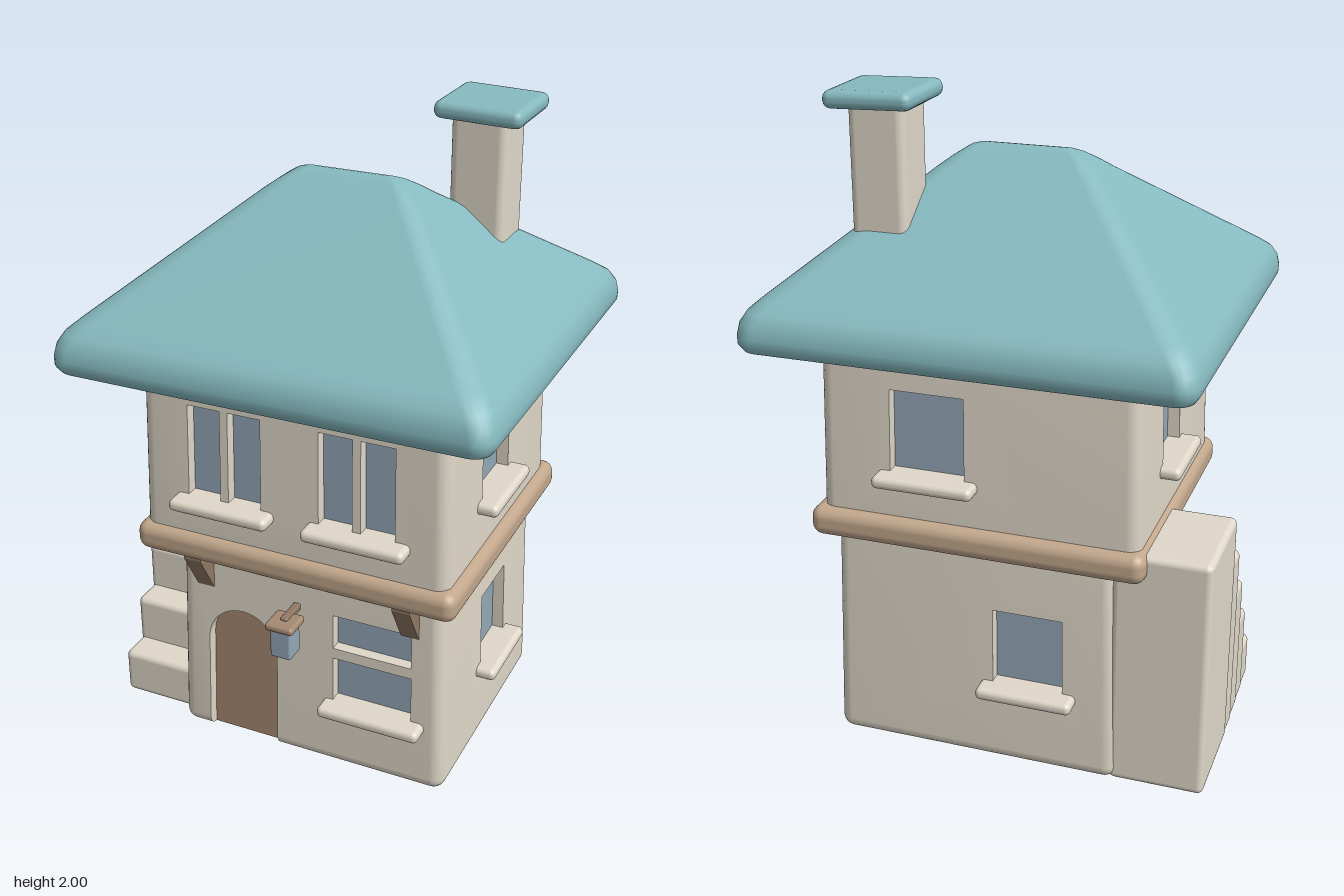
import * as THREE from 'three';
import { mergeGeometries, toCreasedNormals } from 'three/addons/utils/BufferGeometryUtils.js';
import { RoundedBoxGeometry } from 'three/addons/geometries/RoundedBoxGeometry.js';

const mat = (color) => new THREE.MeshStandardMaterial({ color });
const PLASTER = mat(0xe0d8c9), ROOF = mat(0x86bac0), TRIM = mat(0xc2a78c);
const WOOD = mat(0xa68a72), DARK = mat(0x8f7863), GLASS = mat(0x94a8b8);
const R = 0.04;   // corner radius of the walls
const T = 0.045;  // depth of the window and door recesses

function add(parent, name, geometry, material) {
  const mesh = new THREE.Mesh(geometry, material);
  mesh.name = name;
  parent.add(mesh);
  return mesh;
}

// Rounded box given by its limits on each axis
function block(x0, x1, y0, y1, z0, z1, r, segments = 3) {
  return new RoundedBoxGeometry(x1 - x0, y1 - y0, z1 - z0, segments, r)
    .translate((x0 + x1) / 2, (y0 + y1) / 2, (z0 + z1) / 2);
}

// Outline of an opening, optionally with a round top
function trace(path, o, start) {
  const h = o.w / 2;
  path[start](o.u - h, o.y0);
  if (o.arch) {
    path.lineTo(o.u - h, o.y1 - h);
    path.absarc(o.u, o.y1 - h, h, Math.PI, 0, true);
  } else {
    path.lineTo(o.u - h, o.y1);
    path.lineTo(o.u + h, o.y1);
  }
  path.lineTo(o.u + h, o.y0);
  return path;
}

// Wall sheet with openings; an opening at ground level becomes a notch
function sheet(half, d, y0, y1, openings) {
  const s = new THREE.Shape();
  s.moveTo(-half, y0);
  for (const o of openings) {
    if (o.y0 < y0) trace(s, { ...o, y0 }, 'lineTo');
    else s.holes.push(trace(new THREE.Path(), o, 'moveTo'));
  }
  s.lineTo(half, y0);
  s.lineTo(half, y1);
  s.lineTo(-half, y1);
  return new THREE.ExtrudeGeometry(s, { depth: T, bevelEnabled: false, curveSegments: 16 })
    .translate(0, 0, d - T);
}

// Rounded bottom edge of a wall between two positions along it
function bottomEdge(a, b, d, y) {
  const s = new THREE.Shape();
  s.moveTo(d - T - 0.01, y);
  s.lineTo(d - R, y);
  s.absarc(d - R, y + R, R, -Math.PI / 2, 0, false);
  s.lineTo(d - T - 0.01, y + R);
  return new THREE.ExtrudeGeometry(s, { depth: b - a, bevelEnabled: false, curveSegments: 6 })
    .rotateY(-Math.PI / 2).translate(b, 0, 0);
}

// Rounded vertical corner, closed by a ball end below
function corner(x, z, y0, y1) {
  const pts = [];
  for (let i = 0; i <= 6; i++) {
    const a = (i / 6) * Math.PI / 2;
    pts.push(new THREE.Vector2(R * Math.sin(a), y0 + R - R * Math.cos(a)));
  }
  pts.push(new THREE.Vector2(R, y1));
  return new THREE.LatheGeometry(pts, 6, 0, Math.PI / 2).toNonIndexed().translate(x, 0, z);
}

// One tapered storey: four walls, their panes and their sills
function storey(name, { cx, cz, hx, hz, y0, y1, taper, sides }) {
  const g = new THREE.Group();
  g.name = name;
  const lean = (geo) => {
    const p = geo.attributes.position;
    for (let i = 0; i < p.count; i++) {
      const k = 1 - taper * (p.getY(i) - y0) / (y1 - y0);
      p.setXYZ(i, p.getX(i) * k + cx, p.getY(i), p.getZ(i) * k + cz);
    }
    return geo;
  };
  const core = new THREE.BoxGeometry(2 * (hx - T), y1 - y0, 2 * (hz - T));
  const walls = [core.translate(0, (y0 + y1) / 2, 0).toNonIndexed()];
  ['front', 'right', 'back', 'left'].forEach((side, i) => {
    const angle = i * Math.PI / 2, across = i % 2 === 1;
    const d = across ? hx : hz, half = (across ? hz : hx) - R;
    const sign = i === 0 || i === 3 ? 1 : -1, mid = across ? cz : cx;
    const { openings = [], sills = [] } = sides[side] || {};
    const list = openings.map((o) => ({ ...o, u: sign * (o.c - mid) }));
    walls.push(sheet(half, d, y0 + R, y1, list).rotateY(angle));
    walls.push(corner(half, d - R, y0, y1).rotateY(angle));
    const door = list.find((o) => o.y0 < y0 + R);
    const spans = door ? [[-half, door.u - door.w / 2], [door.u + door.w / 2, half]] : [[-half, half]];
    for (const [a, b] of spans) walls.push(bottomEdge(a, b, d, y0).rotateY(angle));
    // Recessed panes and doors
    for (const o of list) {
      const pane = new THREE.ExtrudeGeometry(trace(new THREE.Shape(), o, 'moveTo'),
        { depth: 0.008, bevelEnabled: false, curveSegments: 16 });
      pane.translate(0, 0, d - T).rotateY(angle);
      add(g, side + (o.arch ? 'Door' : 'WindowPane'), lean(pane), o.arch ? WOOD : GLASS);
    }
    for (const { c, w, y } of sills) {
      const u = sign * (c - mid);
      const sill = block(u - w / 2, u + w / 2, y - 0.019, y + 0.019, d - 0.06, d + 0.06, 0.017);
      add(g, side + 'Sill', lean(sill.rotateY(angle)), PLASTER);
    }
  });
  add(g, 'walls', toCreasedNormals(lean(mergeGeometries(walls)), 0.6), PLASTER);
  return g;
}

// Hipped roof lofted through rounded rectangles [y, half x, half z, corner radius]
function roofGeometry() {
  const rings = [
    [1.29, 0.62, 0.565, 0.04], [1.29, 0.62, 0.565, 0.04], [1.3, 0.642, 0.588, 0.05],
    [1.32, 0.655, 0.601, 0.055], [1.345, 0.657, 0.603, 0.06], [1.38, 0.65, 0.596, 0.06],
    [1.41, 0.633, 0.578, 0.06], [1.44, 0.6, 0.54, 0.06], [1.735, 0.245, 0.114, 0.045],
    [1.765, 0.205, 0.075, 0.035], [1.787, 0.17, 0.042, 0.025], [1.797, 0.14, 0.02, 0.012],
    [1.8, 0.11, 0.004, 0.003]];
  const seg = 5, n = 4 * (seg + 1), pos = [], idx = [];
  for (const [y, hx, hz, r] of rings) {
    for (let q = 0; q < 4; q++) for (let j = 0; j <= seg; j++) {
      const a = (q + j / seg) * Math.PI / 2;
      const sx = q === 0 || q === 3 ? 1 : -1, sz = q < 2 ? 1 : -1;
      pos.push(sx * (hx - r) + r * Math.cos(a), y, sz * (hz - r) + r * Math.sin(a));
    }
  }
  for (let k = 1; k < rings.length - 1; k++) for (let j = 0; j < n; j++) {
    const a = k * n + j, b = k * n + (j + 1) % n;
    idx.push(a, a + n, b, b, a + n, b + n);
  }
  const top = (rings.length - 1) * n;
  for (let j = 1; j < n - 1; j++) idx.push(0, j, j + 1, top, top + j + 1, top + j);
  const geo = new THREE.BufferGeometry();
  geo.setAttribute('position', new THREE.Float32BufferAttribute(pos, 3));
  geo.setIndex(idx);
  geo.computeVertexNormals();
  return geo;
}

export function createModel() {
  const house = new THREE.Group();
  house.name = 'house';

  house.add(storey('groundFloor', {
    cx: 0.035, cz: -0.035, hx: 0.447, hz: 0.395, y0: 0.005, y1: 0.72, taper: 0.04,
    sides: {
      front: {
        openings: [{ c: -0.193, w: 0.24, y0: 0.005, y1: 0.475, arch: true },
          { c: 0.25, w: 0.26, y0: 0.235, y1: 0.395 }, { c: 0.25, w: 0.26, y0: 0.43, y1: 0.545 }],
        sills: [{ c: 0.255, w: 0.335, y: 0.225 }],
      },
      right: { openings: [{ c: -0.08, w: 0.21, y0: 0.265, y1: 0.515 }], sills: [{ c: -0.08, w: 0.29, y: 0.257 }] },
      back: { openings: [{ c: -0.14, w: 0.22, y0: 0.265, y1: 0.515 }], sills: [{ c: -0.14, w: 0.3, y: 0.257 }] },
    },
  }));

  const pair = (c) => [-0.066, 0.066].map((s) => ({ c: c + s, w: 0.106, y0: 0.885, y1: 1.19 }));
  house.add(storey('upperFloor', {
    cx: 0.02, cz: 0.005, hx: 0.487, hz: 0.427, y0: 0.7, y1: 1.36, taper: 0.03,
    sides: {
      front: {
        openings: [...pair(-0.193), ...pair(0.23)],
        sills: [{ c: -0.193, w: 0.32, y: 0.883 }, { c: 0.235, w: 0.32, y: 0.883 }],
      },
      right: { openings: [{ c: 0.047, w: 0.222, y0: 0.925, y1: 1.19 }], sills: [{ c: 0.047, w: 0.3, y: 0.919 }] },
      back: { openings: [{ c: 0.17, w: 0.23, y0: 0.91, y1: 1.17 }], sills: [{ c: 0.17, w: 0.31, y: 0.9 }] },
      left: {
        openings: [{ c: -0.29, w: 0.19, y0: 0.75, y1: 1.16, arch: true }, { c: -0.06, w: 0.2, y0: 0.925, y1: 1.19 }],
        sills: [{ c: -0.055, w: 0.28, y: 0.919 }],
      },
    },
  }));

  add(house, 'floorBand', block(-0.487, 0.535, 0.685, 0.777, -0.455, 0.457, 0.035), TRIM);

  add(house, 'roof', roofGeometry().translate(0.012, 0, 0.002), ROOF);
  add(house, 'chimney', block(0.255, 0.423, 1.4, 1.965, -0.31, -0.14, 0.025), PLASTER);
  const cap = add(house, 'chimneyCap', new RoundedBoxGeometry(0.262, 0.052, 0.262, 2, 0.024), ROOF);
  cap.position.set(0.345, 1.97, -0.229);
  cap.rotation.z = -0.03;

  // Outside stairs rising to the back landing
  const stairs = new THREE.Group();
  stairs.name = 'stairs';
  house.add(stairs);
  const fronts = [0.297, 0.2, 0.108, 0.014, -0.076];
  fronts.forEach((z, i) => {
    const back = i < 4 ? fronts[i + 1] - 0.06 : -0.412;
    add(stairs, 'step', block(-0.664 - i * 0.0025, -0.385, 0.004, 0.156 + i * 0.152, back, z, 0.02), PLASTER);
  });

  // Wedge brackets below the band
  const wedge = new THREE.Shape([[0.33, 0.54], [0.35, 0.54], [0.425, 0.67], [0.425, 0.69], [0.33, 0.69]]
    .map(([z, y]) => new THREE.Vector2(z, y)));
  for (const x of [-0.312, 0.365]) {
    const geo = new THREE.ExtrudeGeometry(wedge, { depth: 0.056, bevelEnabled: false });
    add(house, 'bracket', geo.rotateY(-Math.PI / 2).translate(x + 0.028, 0, 0), DARK);
  }

  // Lantern by the door
  const lantern = new THREE.Group();
  lantern.name = 'lantern';
  house.add(lantern);
  add(lantern, 'lanternArm', block(-0.014, 0.01, 0.535, 0.558, 0.33, 0.44, 0.006), DARK);
  add(lantern, 'lanternLid', block(-0.048, 0.044, 0.525, 0.55, 0.385, 0.477, 0.011), WOOD);
  add(lantern, 'lanternGlass', block(-0.036, 0.032, 0.43, 0.53, 0.397, 0.465, 0.008), GLASS);

  return house;
}
